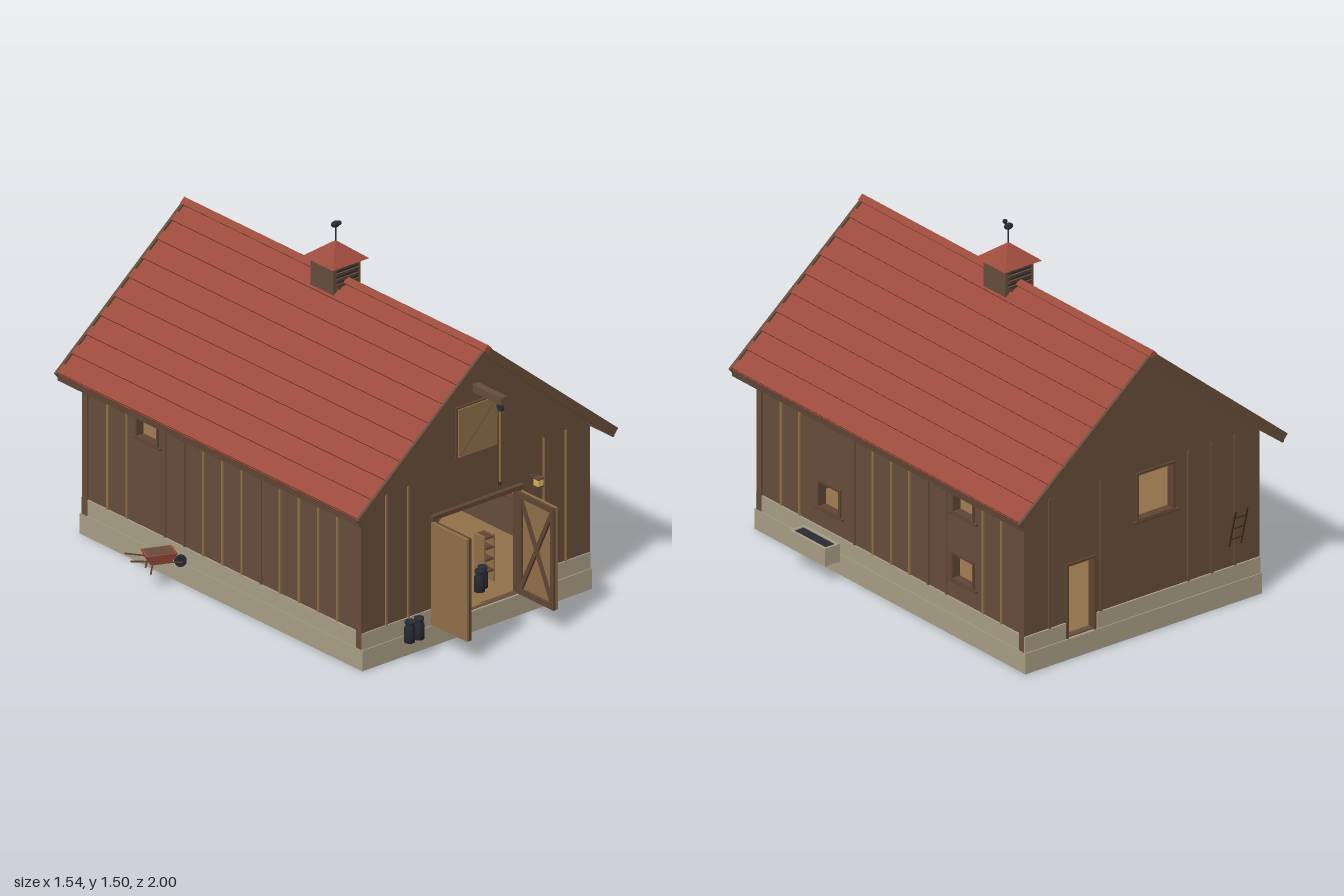
import * as THREE from 'three';

const mat = (name, color) => {
  const m = new THREE.MeshStandardMaterial({ color });
  m.name = name;
  return m;
};

export function createModel() {
  const wood = mat('wallWood', 0x674d3b), trim = mat('trimWood', 0x5f4533), tan = mat('paleWood', 0x917149);
  const red = mat('roofRed', 0x9b4b3c), stone = mat('stone', 0xa99f85), hay = mat('hay', 0xd4bb5b);
  const iron = mat('iron', 0x292b34), dark = mat('darkWood', 0x40301f), rope = mat('rope', 0x9a8536);

  const model = new THREE.Group();
  model.name = 'barnModel';
  const barn = new THREE.Group();
  barn.name = 'barn';
  barn.position.x = 0.06;
  model.add(barn);

  const add = (name, geo, m, x = 0, y = 0, z = 0, parent = barn) => {
    const mesh = new THREE.Mesh(geo, m);
    mesh.name = name;
    mesh.position.set(x, y, z);
    parent.add(mesh);
    return mesh;
  };
  // box given by its extents
  const block = (name, m, x0, x1, y0, y1, z0, z1, parent = barn) => add(name,
    new THREE.BoxGeometry(x1 - x0, y1 - y0, z1 - z0), m, (x0 + x1) / 2, (y0 + y1) / 2, (z0 + z1) / 2, parent);
  // square bar between two points
  const bar = (name, m, a, b, w, h = w, parent = barn) => {
    const p = new THREE.Vector3(...a), q = new THREE.Vector3(...b);
    const mesh = add(name, new THREE.BoxGeometry(w, h, p.distanceTo(q)), m, 0, 0, 0, parent);
    mesh.position.copy(p).add(q).multiplyScalar(0.5);
    mesh.quaternion.setFromUnitVectors(new THREE.Vector3(0, 0, 1), q.sub(p).normalize());
    return mesh;
  };
  const group = (name, x = 0, y = 0, z = 0, ry = 0) => {
    const g = new THREE.Group();
    g.name = name;
    g.position.set(x, y, z);
    g.rotation.y = ry;
    barn.add(g);
    return g;
  };
  const poly = (pts) => new THREE.Shape(pts.map(([x, y]) => new THREE.Vector2(x, y)));
  // wall plate with rectangular openings [x0, x1, y0, y1]
  const plate = (pts, holes, depth) => {
    const s = poly(pts);
    holes.forEach(([a, b, c, d]) => s.holes.push(poly([[a, c], [a, d], [b, d], [b, c]])));
    return new THREE.ExtrudeGeometry(s, { depth, bevelEnabled: false });
  };

  const HW = 0.59, ZF = 0.775, ZB = -0.925, SLOPE = 0.822, UNDER = 1.219;
  const eave = UNDER - HW * SLOPE;

  // hollow foundation ring with the floor set at its top
  for (const s of [-1, 1]) {
    block('foundationSide', stone, s > 0 ? 0.57 : -0.6, s > 0 ? 0.6 : -0.57, 0, 0.09, -0.937, 0.785);
    block('foundationSideUpper', stone, s > 0 ? 0.57 : -0.597, s > 0 ? 0.597 : -0.57, 0.09, 0.16, -0.932, 0.78);
    block('foundationFrontUpper', stone, s > 0 ? 0.235 : -0.596, s > 0 ? 0.596 : -0.235, 0.09, 0.16, 0.75, 0.781);
  }
  block('foundationFront', stone, -0.599, 0.599, 0, 0.0895, 0.755, 0.785);
  block('foundationBack', stone, -0.599, 0.599, 0, 0.0895, -0.937, -0.907);
  block('foundationBackUpper', stone, -0.596, 0.23, 0.09, 0.16, -0.933, -0.9);
  block('foundationBackUpper', stone, 0.39, 0.596, 0.09, 0.16, -0.933, -0.9);
  block('floor', tan, -0.571, 0.571, 0.078, 0.092, -0.908, 0.757);

  // walls
  const gable = [[-HW, 0.09], [HW, 0.09], [HW, eave], [0, UNDER], [-HW, eave]];
  add('frontWall', plate(gable, [[-0.225, 0.225, 0.092, 0.555]], 0.03), wood, 0, 0, ZF - 0.03);
  add('backWall', plate(gable, [[0.24, 0.38, 0.095, 0.41], [-0.16, 0.025, 0.5, 0.705]], 0.03), wood, 0, 0, ZB);
  const side = [[ZB, 0.09], [ZF, 0.09], [ZF, eave], [ZB, eave]];
  const upper = [-0.6, -0.47, 0.54, 0.66];
  const rightHoles = [upper, [-0.6, -0.465, 0.245, 0.36], [0.25, 0.385, 0.245, 0.36]];
  add('rightWall', plate(side, rightHoles, 0.03), wood, HW).rotation.y = -Math.PI / 2;
  add('leftWall', plate(side, [upper], 0.03), wood, -HW + 0.03).rotation.y = -Math.PI / 2;

  // corner posts and battens
  for (const x of [-1, 1]) {
    for (const z of [0.76, -0.91])
      block('cornerPost', wood, x * 0.589 - 0.0095, x * 0.589 + 0.0095, 0.09, eave - 0.01, z - 0.0155, z + 0.0155);
    for (let i = 0; i < 13; i++) {
      const z = 0.625 - i * 0.1167;
      if (x > 0 && (i === 2 || i === 3)) continue;
      if (z < -0.44 && z > -0.63) continue;
      const m = [4, 8, 9].includes(i) ? wood : tan;
      block('sideBatten', m, x * HW - 0.006, x * HW + 0.006, 0.16, 0.7, z - 0.005, z + 0.005);
    }
  }
  for (const x of [-0.47, -0.353, 0.353, 0.47]) block('frontBatten', tan, x - 0.004, x + 0.004, 0.16, 0.73, ZF, ZF + 0.006);
  for (const x of [-0.47, -0.353, -0.235, 0.21, 0.47]) block('backBatten', wood, x - 0.005, x + 0.005, 0.16, 0.73, ZB - 0.007, ZB);

  // window and door frames, facing local +z
  const frame = (name, x, y, z, ry, w, h, sill = true) => {
    const g = group(name, x, y, z, ry), t = 0.011;
    for (const s of [-1, 1]) {
      block('frameStile', trim, s * w / 2 - t / 2, s * w / 2 + t / 2, -h / 2 - t / 2, h / 2 + t / 2, -0.03, 0.008, g);
      if (s > 0 || sill) block('frameRail', trim, -w / 2, w / 2, s * h / 2 - t / 2, s * h / 2 + t / 2, -0.03, 0.008, g);
    }
    if (sill) block('sill', trim, -w / 2 - 0.022, w / 2 + 0.022, -h / 2 - 0.01, -h / 2, -0.02, 0.012, g);
  };
  rightHoles.forEach(([a, b, c, d]) => frame('rightWindow', HW, (c + d) / 2, (a + b) / 2, Math.PI / 2, b - a, d - c));
  frame('leftWindow', -HW, 0.6, -0.535, -Math.PI / 2, 0.13, 0.12);
  frame('backWindow', -0.0675, 0.6025, ZB, Math.PI, 0.185, 0.205);
  frame('backDoorFrame', 0.31, 0.2525, ZB, Math.PI, 0.14, 0.315, false);
  frame('frontDoorFrame', 0, 0.3235, ZF, 0, 0.455, 0.463, false);
  block('doorHeader', trim, -0.24, 0.24, 0.552, 0.57, ZF, 0.795);

  // open front doors, braced on the inside
  for (const s of [-1, 1]) {
    const g = group('frontDoor', s * 0.232, 0, 0), x = -s * 0.012;
    block('doorPanel', tan, -0.006, 0.006, 0.095, 0.54, 0.78, 1, g);
    for (const y of [0.107, 0.528]) bar('doorRail', trim, [x, y, 0.78], [x, y, 1], 0.012, 0.024, g);
    for (const z of [0.791, 0.989]) block('doorStile', trim, x - 0.006, x + 0.006, 0.095, 0.54, z - 0.0112, z + 0.0112, g);
    bar('doorBrace', trim, [x, 0.11, 0.79], [x, 0.525, 0.99], 0.01, 0.018, g);
    bar('doorBrace', trim, [x, 0.525, 0.79], [x, 0.11, 0.99], 0.008, 0.018, g);
  }

  // hay door, hoist beam, pulley and rope
  block('hayDoorFrame', trim, -0.107, 0.107, 0.776, 1, ZF, ZF + 0.01);
  block('hayDoor', tan, -0.1, 0.1, 0.783, 0.993, ZF, ZF + 0.016);
  bar('hayDoorBrace', trim, [-0.09, 0.795, ZF + 0.018], [0.09, 0.98, ZF + 0.018], 0.007, 0.007);
  block('hoistBeam', wood, -0.016, 0.016, 1.043, 1.075, 0.75, 0.95);
  add('pulley', new THREE.CylinderGeometry(0.017, 0.017, 0.012, 12), iron, 0, 1.024, 0.927).rotation.z = Math.PI / 2;
  add('rope', new THREE.BoxGeometry(0.009, 0.32, 0.003), rope, 0, 0.855, 0.924);
  add('hook', new THREE.TorusGeometry(0.007, 0.003, 6, 10), iron, 0, 0.69, 0.922).rotation.y = Math.PI / 2;

  // roof slabs with raised lengthwise battens, barge boards and fascia
  const ang = Math.atan(SLOPE), L = 0.669 / Math.cos(ang), N = 9, top = 1.249;
  const at = (t, off) => [t * Math.cos(ang) + off * Math.sin(ang), top - t * Math.sin(ang) + off * Math.cos(ang)];
  for (const s of [-1, 1]) {
    const flip = (p) => p.map(([x, y]) => [s * x, y]);
    add('roofSide', plate(flip([[0, UNDER], [0, top], at(L, 0), at(L, -0.023)]), [], 1.84), red, 0, 0, -0.995);
    for (let i = 0; i < N; i++) {
      const p = at((i + 0.75) * L / N, 0.003);
      add('roofBatten', new THREE.BoxGeometry(0.042, 0.014, 1.842), red, s * p[0], p[1], -0.075).rotation.z = -s * ang;
    }
    const barge = flip([[0, 1.213], [0, 1.262], at(L + 0.008, 0.01), at(L + 0.008, -0.03)]);
    for (const z of [0.837, -1]) add('bargeBoard', plate(barge, [], 0.013), wood, 0, 0, z);
    block('fascia', trim, s * 0.661 - 0.005, s * 0.661 + 0.005, 0.668, 0.7, -0.996, 0.846);
    for (let z = -0.75; z < 0.8; z += 0.28) {
      const [ex, ey] = at(L * 0.86, -0.034);
      bar('rafter', trim, [0, UNDER - 0.016, z], [s * ex, ey, z], 0.02, 0.02);
    }
  }
  add('ridgeCap', new THREE.BoxGeometry(0.03, 0.03, 1.852), red, 0, 1.248, -0.074).rotation.z = Math.PI / 4;

  // cupola with louvres and weathervane
  const cz = -0.078;
  block('cupolaBody', wood, -0.07, 0.07, 1.17, 1.33, cz - 0.07, cz + 0.07);
  for (const s of [-1, 1]) {
    block('louvrePanel', iron, -0.056, 0.056, 1.235, 1.322, cz + s * 0.07 - 0.002, cz + s * 0.07 + 0.002);
    for (let i = 0; i < 4; i++)
      add('louvre', new THREE.BoxGeometry(0.112, 0.014, 0.006), wood, 0, 1.243 + i * 0.024, cz + s * 0.074).rotation.x = s * 0.25;
  }
  const cap = new THREE.ConeGeometry(0.095 * Math.SQRT2, 0.075, 4).toNonIndexed();
  cap.rotateY(Math.PI / 4);
  cap.computeVertexNormals();
  add('cupolaRoof', cap, red, 0, 1.365, cz);
  add('vaneRod', new THREE.CylinderGeometry(0.003, 0.003, 0.09, 8), iron, 0, 1.435, cz);
  add('vaneBody', new THREE.SphereGeometry(0.014, 12, 8), iron, 0, 1.472, cz).scale.x = 1.5;
  add('vaneHead', new THREE.SphereGeometry(0.01, 10, 8), iron, 0, 1.485, cz + 0.022);

  // loft with stairwell, joists, posts and stairs
  block('loftFloor', tan, -0.56, 0.56, 0.435, 0.458, -0.895, 0.12);
  block('loftFloor', tan, -0.24, 0.56, 0.435, 0.458, 0.12, 0.5);
  block('loftBeam', tan, -0.56, 0.56, 0.41, 0.46, 0.5, 0.53);
  for (let z = -0.85; z < 0.1; z += 0.12) block('joist', trim, -0.56, 0.56, 0.41, 0.435, z - 0.012, z + 0.012);
  for (const z of [0.512, -0.2]) {
    block('post', trim, -0.016, 0.016, 0.09, 0.435, z - 0.02, z + 0.02);
    for (const s of [-1, 1]) bar('kneeBrace', trim, [0, 0.35, z], [s * 0.08, 0.42, z], 0.012);
  }
  block('loftPost', trim, -0.02, 0.035, 0.458, 0.9, -0.53, -0.47);
  block('loftCrate', tan, -0.13, -0.04, 0.458, 0.615, -0.505, -0.47);
  block('loftHatch', tan, 0.035, 0.043, 0.55, 0.615, -0.508, -0.474);
  for (const x of [-0.405, -0.265]) bar('stairStringer', trim, [x, 0.095, 0.565], [x, 0.445, 0.145], 0.012, 0.035);
  for (let i = 0; i < 8; i++)
    block('stairTread', tan, -0.4, -0.27, 0.125 + i * 0.042, 0.135 + i * 0.042, 0.5 - i * 0.05, 0.56 - i * 0.05);
  for (const x of [0.172, 0.223]) block('shelfSide', tan, x - 0.004, x + 0.004, 0.092, 0.3, 0.57, 0.63);
  block('shelfBack', tan, 0.172, 0.223, 0.092, 0.3, 0.57, 0.576);
  for (const y of [0.14, 0.19, 0.24, 0.285]) block('shelf', trim, 0.176, 0.219, y, y + 0.008, 0.576, 0.63);

  // hay bales: x, y, z of the lower centre, half width
  const bales = [[-0.15, 0.094, 0.64, 0.07], [0.03, 0.094, 0.2, 0.08], [0.03, 0.162, 0.2, 0.078],
    [-0.18, 0.182, 0.42, 0.04], [0.105, 0.46, -0.65, 0.047]];
  for (const [x, y, z, w] of bales) {
    block('hayBale', hay, x - w, x + w, y, y + 0.066, z - 0.045, z + 0.045);
    for (const s of [-w / 2, w / 2]) block('baleTwine', rope, x + s - 0.001, x + s + 0.001, y, y + 0.067, z - 0.046, z + 0.046);
  }
  block('baleStand', trim, -0.21, -0.11, 0.092, 0.182, 0.38, 0.46);

  // feed can on a crate inside the back door
  block('feedCrate', trim, 0.4, 0.5, 0.092, 0.2, -0.83, -0.73);
  add('feedCan', new THREE.CylinderGeometry(0.042, 0.042, 0.11, 14), red, 0.45, 0.255, -0.78);

  // milk cans
  const canProfile = [[0, 0], [0.022, 0], [0.022, 0.062], [0.017, 0.07], [0.017, 0.08], [0.02, 0.082], [0.02, 0.092], [0, 0.092]]
    .map(([x, y]) => new THREE.Vector2(x, y));
  for (const [x, y, z] of [[-0.387, 0.08, 0.825], [-0.338, 0.08, 0.825], [0.12, 0.092, 0.66], [0.152, 0.092, 0.64]])
    add('milkCan', new THREE.LatheGeometry(canProfile, 16), iron, x, y, z);

  // lantern on its bracket
  block('lantern', hay, 0.267, 0.295, 0.566, 0.594, 0.818, 0.846);
  block('lanternCap', trim, 0.264, 0.298, 0.594, 0.599, 0.815, 0.849);
  block('lanternBase', trim, 0.264, 0.298, 0.561, 0.566, 0.815, 0.849);
  bar('lanternBracket', trim, [0.281, 0.592, ZF], [0.281, 0.61, 0.831], 0.005);

  // stone trough
  block('trough', stone, 0.63, 0.705, 0.08, 0.15, 0.205, 0.43);
  for (const s of [-1, 1]) {
    block('troughRim', stone, 0.6675 + s * 0.032 - 0.0055, 0.6675 + s * 0.032 + 0.0055, 0.15, 0.158, 0.205, 0.43);
    block('troughRim', stone, 0.63, 0.705, 0.15, 0.158, 0.3175 + s * 0.107 - 0.0055, 0.3175 + s * 0.107 + 0.0055);
  }
  block('troughWater', iron, 0.64, 0.695, 0.149, 0.153, 0.215, 0.42);

  // wheelbarrow, rolling toward local +x
  const wb = group('wheelbarrow', -0.615, 0, -0.305, -0.4);
  add('wheel', new THREE.CylinderGeometry(0.025, 0.025, 0.014, 16), iron, 0, 0.107, 0, wb).rotation.x = Math.PI / 2;
  const tray = new THREE.BoxGeometry(0.13, 0.045, 0.085), tp = tray.attributes.position;
  for (let i = 0; i < tp.count; i++) if (tp.getY(i) < 0) tp.setXYZ(i, tp.getX(i) * 0.65, tp.getY(i), tp.getZ(i) * 0.7);
  tray.computeVertexNormals();
  add('tray', tray, red, -0.09, 0.139, 0, wb);
  block('trayBed', wood, -0.145, -0.035, 0.16, 0.163, -0.034, 0.034, wb);
  for (const s of [-1, 1]) {
    bar('handle', trim, [0.005, 0.105, s * 0.014], [-0.22, 0.152, s * 0.04], 0.006, 0.006, wb);
    bar('leg', trim, [-0.125, 0.13, s * 0.03], [-0.135, 0.08, s * 0.034], 0.006, 0.006, wb);
  }

  // small ladder tilted out from the back wall
  for (const s of [-0.03, 0.03]) bar('ladderRail', dark, [-0.47 + s, 0.25, -0.93], [-0.47 + s, 0.42, -0.972], 0.006);
  for (const t of [0.2, 0.5, 0.8])
    bar('ladderRung', dark, [-0.5, 0.25 + t * 0.17, -0.93 - t * 0.042], [-0.44, 0.25 + t * 0.17, -0.93 - t * 0.042], 0.005);

  return model;
}
